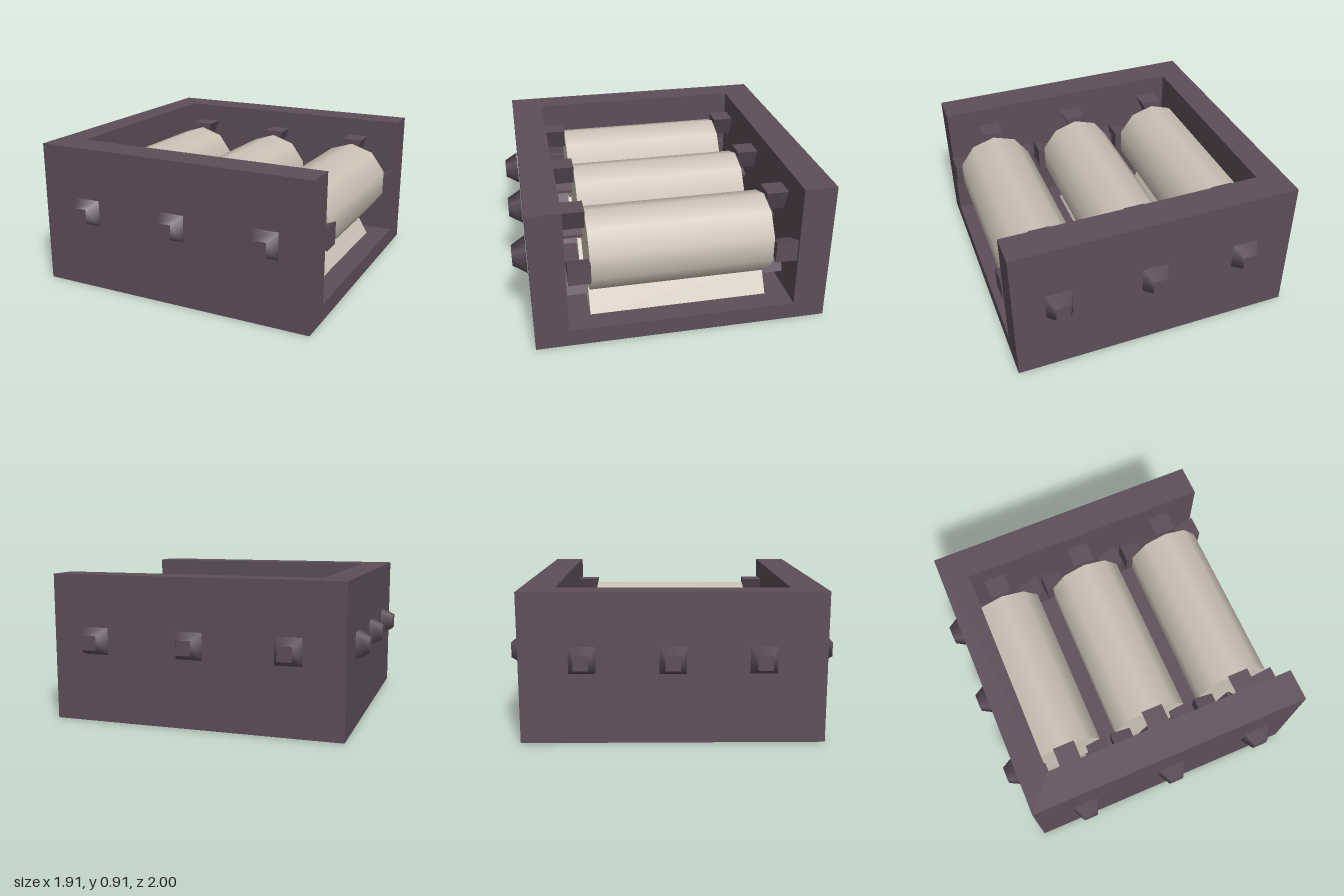
import * as THREE from 'three';

export function createModel() {
  const model = new THREE.Group();
  const iron = new THREE.MeshStandardMaterial({ color: 0x5e4e59 });
  const cream = new THREE.MeshStandardMaterial({ color: 0xcdc2b6 });
  const axisY = 0.505;
  const columns = [-0.55, 0.055, 0.665];

  const add = (name, geometry, material, parent = model) => {
    const mesh = new THREE.Mesh(geometry, material);
    mesh.name = name;
    parent.add(mesh);
    return mesh;
  };
  const polygon = (points) => new THREE.Shape(points.map(([x, y]) => new THREE.Vector2(x, y)));
  // Extrusion along z, centred on z = 0
  const prism = (points, length) =>
    new THREE.ExtrudeGeometry(polygon(points), { depth: length, bevelEnabled: false })
      .translate(0, 0, -length / 2);

  // Three-sided wall, open on +x
  const walls = new THREE.ExtrudeGeometry(polygon([
    [-0.88, -0.91], [0.945, -0.91], [0.945, -0.705], [-0.705, -0.705],
    [-0.705, 0.705], [0.945, 0.705], [0.945, 0.91], [-0.88, 0.91],
  ]), { depth: 0.91, bevelEnabled: false }).rotateX(-Math.PI / 2);
  add('walls', walls, iron);

  // Floor between the walls
  add('floor', new THREE.BoxGeometry(1.65, 0.11, 1.41).translate(0.12, 0.055, 0), iron);

  // Tapered studs on the three outer walls
  const studGeometry = new THREE.CylinderGeometry(0.045 * Math.SQRT2, 0.083 * Math.SQRT2, 0.085, 4)
    .rotateY(Math.PI / 4).translate(0, 0.0425, 0).rotateX(Math.PI / 2);
  const addStud = (x, z, turn) => {
    const stud = add('wallStud', studGeometry, iron);
    stud.position.set(x, axisY, z);
    stud.rotation.y = turn;
  };
  for (const x of columns) {
    addStud(x, 0.915, 0);
    addStud(x, -0.915, Math.PI);
  }
  for (const z of [-0.535, 0, 0.535]) addStud(-0.875, z, -Math.PI / 2);

  // Rollers with a ring of four wedge teeth at each end and a ridge below
  const rollerGeometry = new THREE.CylinderGeometry(0.255, 0.255, 1.12, 10).rotateX(-Math.PI / 2);
  const toothGeometry = prism([[0.145, -0.01], [0.287, -0.07], [0.287, 0.07], [0.145, 0.01]], 0.135);
  const ridgeGeometry = prism([[-0.15, 0.1], [0.15, 0.1], [0.05, 0.27], [-0.05, 0.27]], 1.12);
  for (const x of columns) {
    const unit = new THREE.Group();
    unit.name = 'rollerUnit';
    unit.position.x = x;
    model.add(unit);
    add('roller', rollerGeometry, cream, unit).position.y = axisY;
    add('floorRidge', ridgeGeometry, cream, unit);
    for (const z of [-0.627, 0.627]) {
      for (let i = 0; i < 4; i++) {
        const tooth = add('rollerTooth', toothGeometry, iron, unit);
        tooth.position.set(0, axisY, z);
        tooth.rotation.z = i * Math.PI / 2;
      }
    }
  }
  return model;
}
